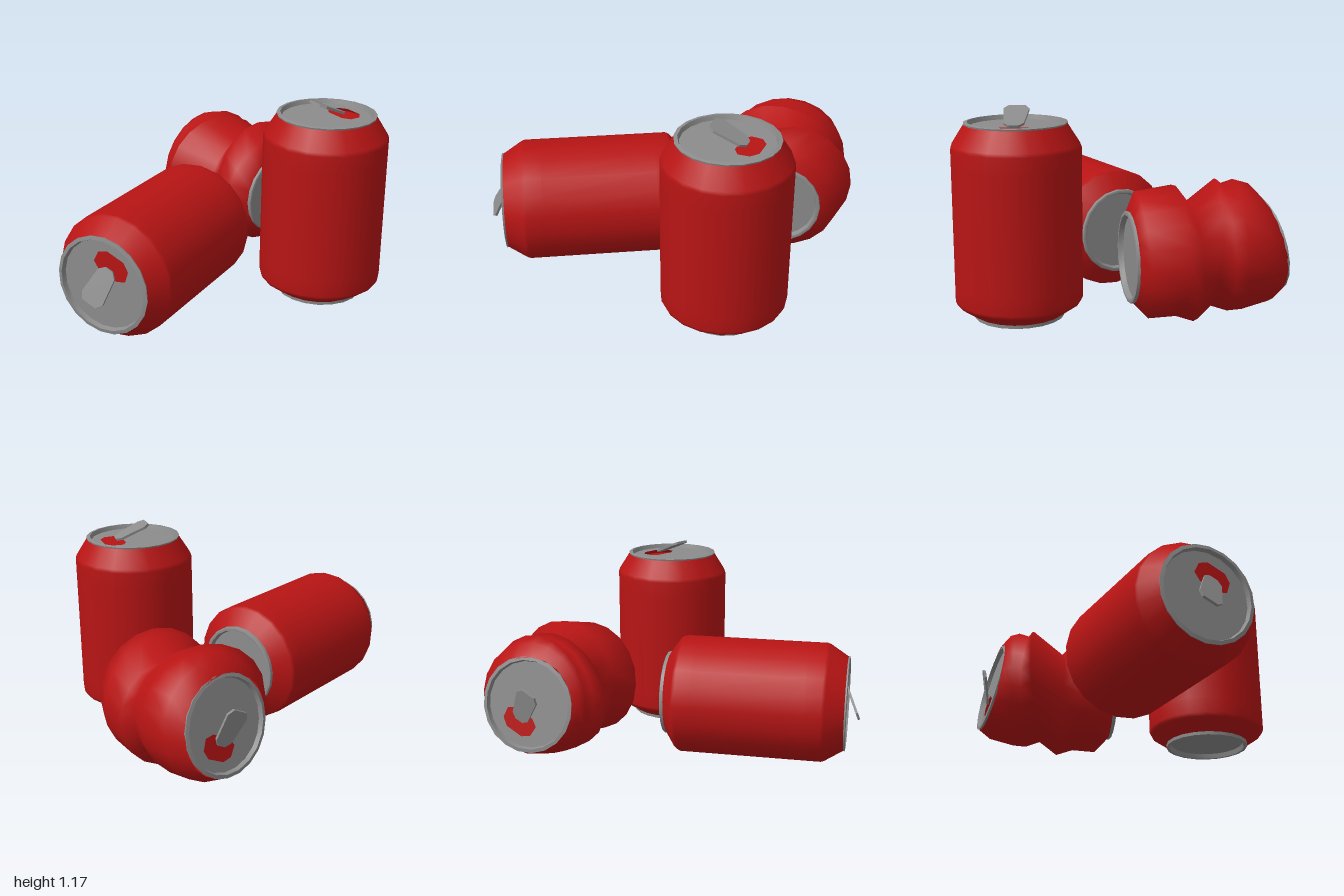
import * as THREE from 'three';
import { toCreasedNormals } from 'three/addons/utils/BufferGeometryUtils.js';

const SIDES = 20;
const HEIGHT = 1.09;
const red = new THREE.MeshStandardMaterial({ color: 0xb81414, side: THREE.DoubleSide });
const metal = new THREE.MeshStandardMaterial({ color: 0x8c8c8c, side: THREE.DoubleSide });

const V = (x, y, z) => new THREE.Vector3(x, y, z);
const points = (list) => list.map(([x, y]) => new THREE.Vector2(x, y));

function part(name, geometry, material) {
  const mesh = new THREE.Mesh(geometry, material);
  mesh.name = name;
  return mesh;
}

const lathe = (profile) => new THREE.LatheGeometry(points(profile), SIDES);

// Place an object with its own y along yAxis and its own x near xAxis
function place(object, position, yAxis, xAxis) {
  const y = yAxis.clone().normalize();
  const z = xAxis.clone().cross(y).normalize();
  const x = y.clone().cross(z);
  object.quaternion.setFromRotationMatrix(new THREE.Matrix4().makeBasis(x, y, z));
  object.position.copy(position);
  return object;
}

// Closed outline from its upper half, mirrored across the x axis
function mirrored(half) {
  return points([...half, ...half.map(([x, y]) => [x, -y]).reverse()]);
}

// Lid with rim, mouth opening and raised pull tab; the mouth lies towards +x
function topEnd() {
  const group = new THREE.Group();
  group.name = 'topEnd';
  const rim = lathe([[0.279, -0.014], [0.283, 0], [0.262, 0.004], [0.253, -0.025]]);
  group.add(part('topRim', toCreasedNormals(rim, 0.6), metal));

  const disc = new THREE.Shape().absarc(0, 0, 0.255, 0, Math.PI * 2);
  disc.holes.push(new THREE.Path(mirrored([[0.06, 0.06], [0.09, 0.105], [0.155, 0.1], [0.19, 0.055]])));
  const lid = part('lid', new THREE.ShapeGeometry(disc, 10).rotateX(-Math.PI / 2), metal);
  lid.position.y = -0.022;

  const inside = part('openingInside', new THREE.CircleGeometry(0.25, SIDES).rotateX(-Math.PI / 2), red);
  inside.position.y = -0.055;

  const outline = new THREE.Shape(mirrored([[-0.105, 0.045], [-0.07, 0.07], [0.08, 0.055], [0.11, 0.025]]));
  const tabGeometry = new THREE.ExtrudeGeometry(outline, { depth: 0.014, bevelEnabled: false });
  const tab = part('pullTab', tabGeometry.rotateX(-Math.PI / 2), metal);
  tab.rotation.z = -0.4;
  tab.position.set(0.005, 0.025, 0);

  group.add(lid, inside, tab);
  return group;
}

// Recessed base with its standing ring
function bottomEnd() {
  const base = lathe([[0, 0.03], [0.222, 0.03], [0.23, 0.002], [0.24, 0], [0.25, 0.004], [0.252, 0.026]]);
  return part('bottomEnd', toCreasedNormals(base, 0.6), metal);
}

// Undamaged can standing on its own origin
function wholeCan(name) {
  const can = new THREE.Group();
  can.name = name;
  const body = lathe([
    [0.25, 0.022], [0.345, 0.088], [0.355, 0.11], [0.355, 0.2],
    [0.355, 0.86], [0.355, 0.955], [0.348, 0.975], [0.28, 1.082],
  ]);
  const top = topEnd();
  top.position.y = HEIGHT;
  can.add(part('canBody', body, red), bottomEnd(), top);
  return can;
}

// Buckled wall: each ring has a side (x, z), opposite side (x, z), upper (y, z) and lower (y, z) point
function crushedBody() {
  const rings = [
    [[0.41, -0.01], [0.88, -0.12], [0.61, -0.065], [0.12, -0.065]],
    [[0.28, -0.08], [0.97, -0.19], [0.72, -0.10], [0.03, -0.15]],
    [[0.31, -0.24], [1.00, -0.39], [0.765, -0.31], [0.055, -0.29]],
    [[0.30, -0.32], [0.93, -0.46], [0.66, -0.385], [0.01, -0.39]],
    [[0.11, -0.51], [0.88, -0.55], [0.765, -0.54], [0.065, -0.50]],
    [[0.15, -0.575], [0.875, -0.63], [0.742, -0.57], [0.04, -0.59]],
    [[0.15, -0.63], [0.88, -0.69], [0.768, -0.64], [0.05, -0.67]],
    [[0.165, -0.665], [0.81, -0.84], [0.745, -0.71], [0.085, -0.80]],
    [[0.19, -0.70], [0.71, -0.91], [0.675, -0.76], [0.125, -0.85]],
  ];
  const position = [];
  const index = [];
  rings.forEach(([l, r, t, b], i) => {
    const c = V((l[0] + r[0]) / 2, (t[0] + b[0]) / 2, (l[1] + r[1]) / 2);
    const left = V(l[0], c.y, l[1]).sub(c);
    const right = V(r[0], c.y, r[1]).sub(c);
    const up = V(c.x, t[0], t[1]).sub(c);
    const down = V(c.x, b[0], b[1]).sub(c);
    for (let j = 0; j < SIDES; j++) {
      const a = (j / SIDES) * Math.PI * 2;
      const p = c.clone()
        .addScaledVector(Math.cos(a) > 0 ? right : left, Math.abs(Math.cos(a)))
        .addScaledVector(Math.sin(a) > 0 ? up : down, Math.abs(Math.sin(a)));
      position.push(p.x, p.y, p.z);
      if (i === rings.length - 1) continue;
      const q = i * SIDES + j;
      const n = i * SIDES + ((j + 1) % SIDES);
      index.push(q, q + SIDES, n, n, q + SIDES, n + SIDES);
    }
  });
  const geometry = new THREE.BufferGeometry();
  geometry.setAttribute('position', new THREE.Float32BufferAttribute(position, 3));
  geometry.setIndex(index);
  geometry.computeVertexNormals();
  return part('crushedBody', geometry, red);
}

function crushedCan() {
  const can = new THREE.Group();
  can.name = 'crushedCan';
  const across = V(0.924, 0, -0.382);
  const upward = V(0.069, 0.984, 0.166);
  const mouth = across.multiplyScalar(0.46).addScaledVector(upward, -0.88);
  const top = place(topEnd(), V(0.45, 0.4, -0.81), V(-0.376, 0.18, -0.909), mouth);
  const bottom = place(bottomEnd(), V(0.648, 0.365, -0.05), V(-0.228, 0, -0.974), V(0, 1, 0));
  can.add(crushedBody(), top, bottom);
  return can;
}

export function createModel() {
  const model = new THREE.Group();
  model.name = 'drinkCans';

  const standing = wholeCan('standingCan');
  standing.position.set(0.545, 0, 0.55);

  const lying = wholeCan('lyingCan');
  place(lying, V(0.08, 0.362, -0.01), V(-0.866, 0, 0.5), V(0.19, 0.92, 0.33));

  model.add(standing, lying, crushedCan());
  return model;
}
